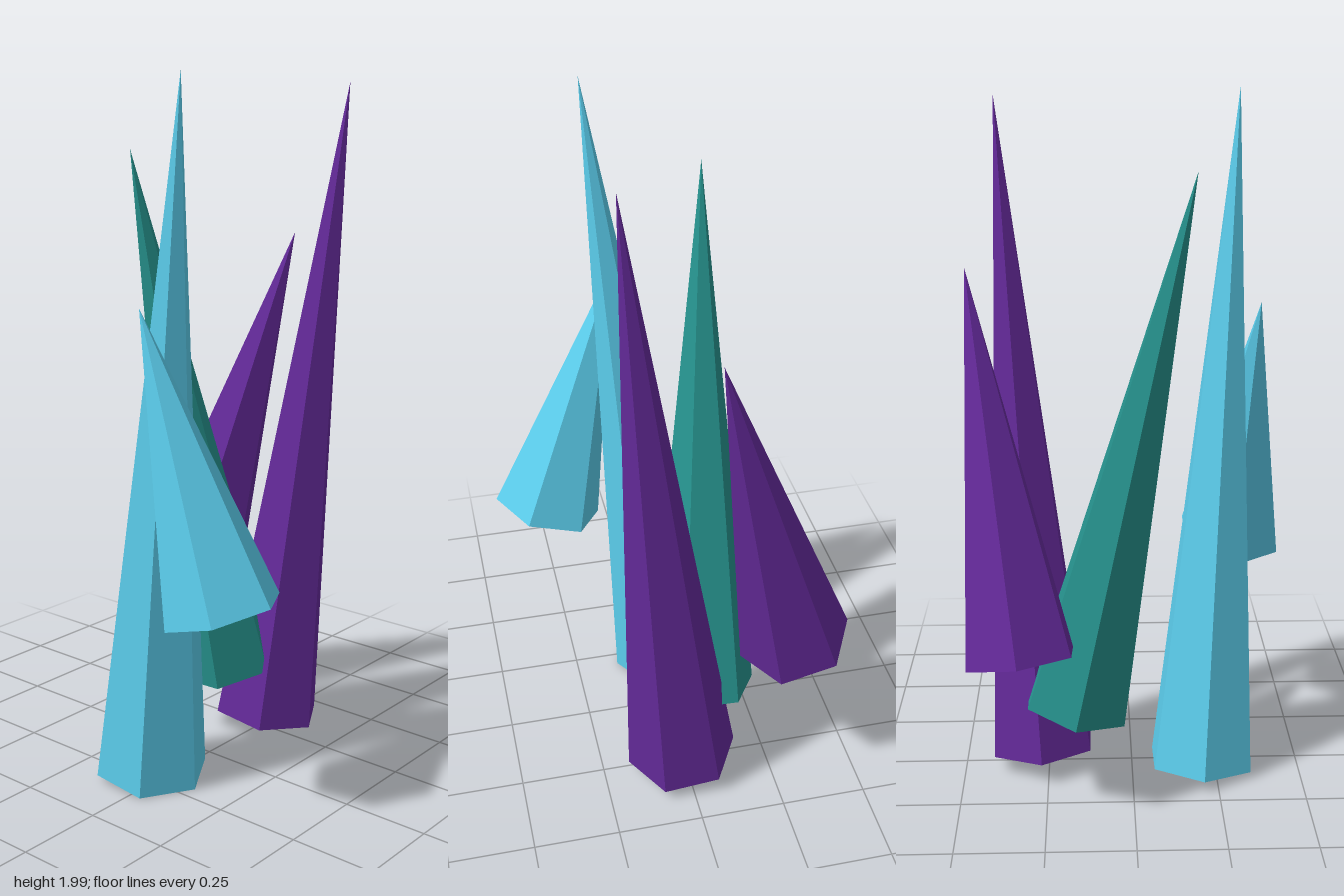
import * as THREE from 'three';

const BLUE = 0x5bcdec, TEAL = 0x26928d, PURPLE = 0x642a9a;
const RADIUS = 0.165;

// Each crystal: name, colour, centre of the base, tip
const CRYSTALS = [
  ['tallBlueCrystal', BLUE, [-0.207, 0.021, -0.045], [-0.307, 1.99, 0.165]],
  ['shortBlueCrystal', BLUE, [-0.314, 0.617, 0.308], [-0.37, 1.4, 0.075]],
  ['tealCrystal', TEAL, [0.165, 0.228, -0.072], [-0.17, 1.788, -0.136]],
  ['tallPurpleCrystal', PURPLE, [0.268, 0.055, 0.01], [0.38, 1.965, 0.197]],
  ['shortPurpleCrystal', PURPLE, [0.314, 0.49, -0.313], [0.455, 1.525, -0.043]],
];

// Six-sided spike running from base to tip
function crystal(name, color, base, tip) {
  const from = new THREE.Vector3(...base);
  const axis = new THREE.Vector3(...tip).sub(from);
  const height = axis.length();
  const geometry = new THREE.ConeGeometry(RADIUS, height, 6);
  geometry.translate(0, height / 2, 0);
  const material = new THREE.MeshStandardMaterial({ color, flatShading: true });
  const mesh = new THREE.Mesh(geometry, material);
  mesh.name = name;
  mesh.position.copy(from);
  mesh.quaternion.setFromUnitVectors(new THREE.Vector3(0, 1, 0), axis.normalize());
  return mesh;
}

export function createModel() {
  const group = new THREE.Group();
  group.name = 'crystalCluster';
  for (const spec of CRYSTALS) group.add(crystal(...spec));
  return group;
}
